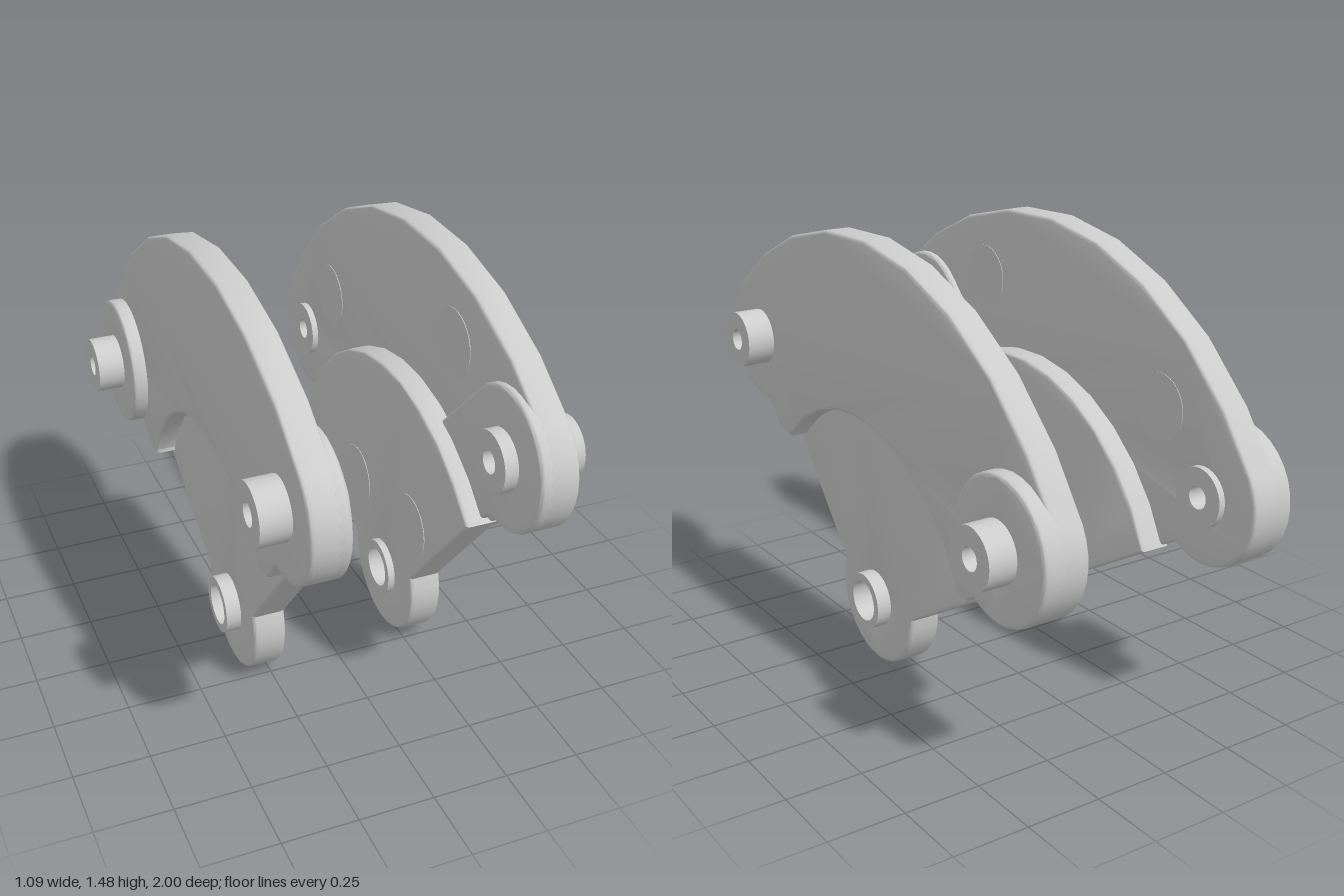
import * as THREE from 'three';
import { toCreasedNormals } from 'three/addons/utils/BufferGeometryUtils.js';

// Outlines are drawn in the side plane as (u, y) with u = -z.
const PIVOT = [-0.115, 0.23];
const FRONT = [-0.775, 1.015];
const BACK = [0.775, 0.745];
const LOBE = 0.225;

const material = new THREE.MeshStandardMaterial({ color: 0xcccccc });

// Points along an arc, angles in degrees
function arc([cx, cy], r, from, to, n) {
  return Array.from({ length: n + 1 }, (_, i) => {
    const a = THREE.MathUtils.degToRad(from + ((to - from) * i) / n);
    return new THREE.Vector2(cx + r * Math.cos(a), cy + r * Math.sin(a));
  });
}

const circle = (c, r, n = 32) => arc(c, r, 0, 360, n).slice(0, n);
const pt = (u, y) => new THREE.Vector2(u, y);

// Extrudes an outline sideways between two distances from the centre plane
function slab(name, side, outline, inner, outer, bevel = 0, holes = []) {
  const shape = new THREE.Shape(outline);
  holes.forEach((h) => shape.holes.push(new THREE.Path(h)));
  let geometry = new THREE.ExtrudeGeometry(shape, {
    depth: outer - inner - 2 * bevel,
    bevelEnabled: bevel > 0,
    bevelThickness: bevel,
    bevelSize: bevel,
    bevelOffset: -bevel,
    bevelSegments: 3,
  });
  geometry.rotateY(Math.PI / 2);
  geometry.translate((side > 0 ? inner : -outer) + bevel, 0, 0);
  geometry = toCreasedNormals(geometry, 0.6);
  const mesh = new THREE.Mesh(geometry, material);
  mesh.name = name;
  return mesh;
}

// Curved upper band with a round lobe at each end
const upperOutline = [
  ...arc(BACK, LOBE, 238, 390, 14),
  ...arc(PIVOT, 1.251, 40, 120, 7),
  ...arc(FRONT, LOBE, 130, 270, 13),
  pt(-0.73, 0.79),
  pt(-0.655, 0.7),
  pt(-0.585, 0.69),
  ...arc(PIVOT, 0.66, 134, 25.5, 10),
  pt(0.48, 0.5),
  pt(0.54, 0.488),
];

// Fan-shaped lower plate around the pivot
const lowerOutline = [
  ...arc(PIVOT, 0.228, 160, 360, 18),
  ...arc(PIVOT, 0.769, 21.7, 138.6, 11),
];

// Raised pad on the inner face of the front lobe
const padOutline = [
  ...arc(FRONT, LOBE, 43, 270, 20),
  pt(-0.73, 0.79),
  pt(-0.56, 0.66),
  pt(-0.37, 0.925),
];

function createPlate(side) {
  const plate = new THREE.Group();
  plate.name = side > 0 ? 'leftPlate' : 'rightPlate';
  const add = (name, ...args) => plate.add(slab(name, side, ...args));

  add('upperBand', upperOutline, 0.305, 0.405, 0.012, [circle(BACK, 0.06)]);
  add('lowerFan', lowerOutline, 0.227, 0.337, 0.012, [circle(PIVOT, 0.07)]);
  add('frontLobePad', padOutline, 0.282, 0.33, 0.012);
  add('backLobeBoss', circle(BACK, LOBE), 0.38, 0.455, 0.012, [circle(BACK, 0.06)]);

  // Pivot bushing and through-bored back pin
  add('pivotBushing', circle(PIVOT, 0.097), 0.203, 0.387, 0, [circle(PIVOT, 0.07)]);
  add('backPin', circle(BACK, 0.097), 0.283, 0.547, 0, [circle(BACK, 0.037)]);

  // Front pin, bored blind from both ends
  const bore = [circle(FRONT, 0.037)];
  add('frontPinOuter', circle(FRONT, 0.097), 0.4, 0.5, 0, bore);
  add('frontPinInner', circle(FRONT, 0.097), 0.238, 0.29, 0, bore);

  // Faint round marks on the inner faces
  for (const [u, y, x] of [
    [-0.4, 1.215, 0.305],
    [0.56, 0.975, 0.305],
    [-0.31, 0.515, 0.227],
    [0.12, 0.47, 0.227],
  ]) {
    add('roundMark', circle([u, y], 0.11), x - 0.002, x + 0.004);
  }
  return plate;
}

export function createModel() {
  const model = new THREE.Group();
  model.name = 'sidePlatePair';
  model.add(createPlate(1), createPlate(-1));
  return model;
}
